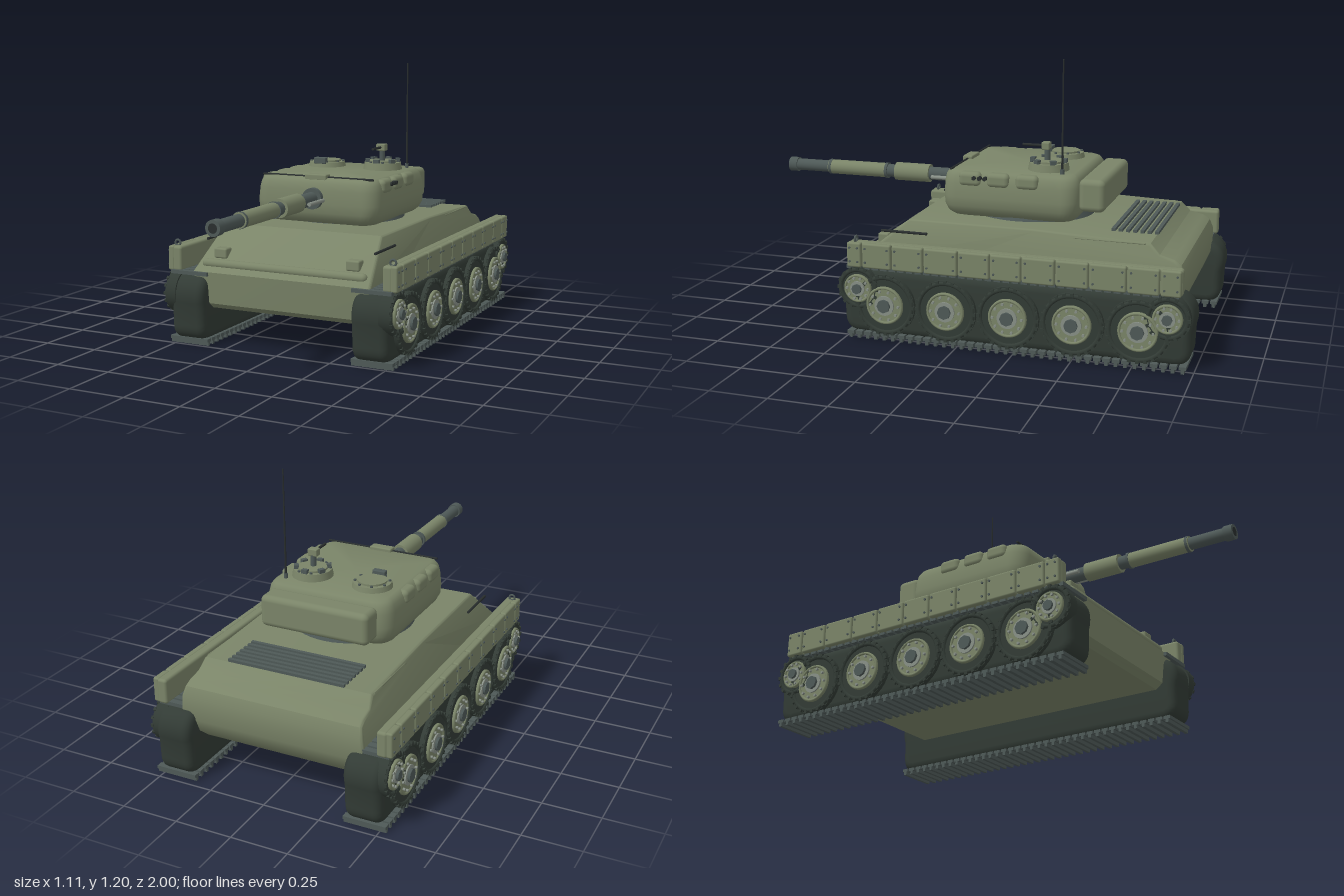
import * as THREE from 'three';
import { toCreasedNormals } from 'three/addons/utils/BufferGeometryUtils.js';
import { RoundedBoxGeometry } from 'three/addons/geometries/RoundedBoxGeometry.js';

const mat = (name, color) => Object.assign(new THREE.MeshStandardMaterial({ color }), { name });

export function createModel() {
  const green = mat('olive green', 0x7a8468);
  const dark = mat('dark track green', 0x323b35);
  const steel = mat('blue grey steel', 0x4e5957);
  const pale = mat('pale grey metal', 0x878f86);
  const black = mat('black metal', 0x292e2e);
  const model = new THREE.Group();
  model.name = 'tank';

  const add = (name, geo, material, x = 0, y = 0, z = 0, parent = model) => {
    const m = new THREE.Mesh(geo, material);
    m.name = name;
    m.position.set(x, y, z);
    parent.add(m);
    return m;
  };
  const box = (w, h, d) => new THREE.BoxGeometry(w, h, d);
  const soft = (w, h, d, r) => new RoundedBoxGeometry(w, h, d, 3, r);
  const cyl = (r, h, n = 32, r2 = r) => new THREE.CylinderGeometry(r, r2, h, n);
  const cylX = (r, h, n = 32) => cyl(r, h, n).rotateZ(Math.PI / 2);
  const cylZ = (r, h, n = 32) => cyl(r, h, n).rotateX(Math.PI / 2);

  // Side profile of [z, y] points, widened along x with bevelled edges
  const sideExtrude = (shape, width, bevel) => {
    const depth = width - 2 * bevel;
    const g = new THREE.ExtrudeGeometry(shape, {
      depth, bevelEnabled: true, bevelSize: bevel, bevelThickness: bevel,
      bevelOffset: -bevel, bevelSegments: 4, curveSegments: 12,
    });
    return g.translate(0, 0, -depth / 2).rotateY(-Math.PI / 2);
  };

  // Rounded-rectangle sections [y, halfX, halfZ, cornerRadius] stacked upwards
  const loft = (sections) => {
    const pos = [], idx = [], steps = 7, n = 4 * steps;
    for (const [y, hx, hz, r] of sections)
      for (let c = 0; c < 4; c++)
        for (let s = 0; s < steps; s++) {
          const a = (c + s / (steps - 1)) * Math.PI / 2;
          const sx = c === 0 || c === 3 ? 1 : -1, sz = c < 2 ? 1 : -1;
          pos.push(sx * (hx - r) + r * Math.cos(a), y, sz * (hz - r) + r * Math.sin(a));
        }
    const last = sections.length - 1, lo = pos.length / 3, hi = lo + 1;
    pos.push(0, sections[0][0], 0, 0, sections[last][0], 0);
    for (let j = 0; j < n; j++) {
      const k = (j + 1) % n;
      for (let i = 0; i < last; i++) {
        const a = i * n + j, b = i * n + k;
        idx.push(a, a + n, b, a + n, b + n, b);
      }
      idx.push(lo, j, k, hi, last * n + k, last * n + j);
    }
    const g = new THREE.BufferGeometry();
    g.setAttribute('position', new THREE.Float32BufferAttribute(pos, 3));
    g.setIndex(idx);
    return toCreasedNormals(g, 0.6);
  };

  // Hull: one side profile, narrowing towards the deck
  const profile = [[0.43, 0.16], [0.462, 0.185], [0.478, 0.325], [0.26, 0.505], [-0.29, 0.505],
    [-0.79, 0.488], [-0.83, 0.445], [-0.89, 0.43], [-0.92, 0.41], [-0.935, 0.37],
    [-0.935, 0.27], [-0.91, 0.21], [-0.85, 0.16]];
  const hullGeo = sideExtrude(new THREE.Shape(profile.map(p => new THREE.Vector2(...p))), 0.84, 0.012);
  const hp = hullGeo.attributes.position;
  for (let i = 0; i < hp.count; i++) {
    const t = Math.max(0, (hp.getY(i) - 0.325) / 0.18);
    hp.setX(i, hp.getX(i) * (1 - 0.095 * t));
  }
  add('hull', toCreasedNormals(hullGeo, 0.6), green);
  add('splashBar', new THREE.CapsuleGeometry(0.02, 0.74, 6, 16).rotateZ(Math.PI / 2), green, 0, 0.357, 0.435);

  // Engine grille
  for (let i = 0; i < 7; i++)
    add('grilleSlat', box(0.53, 0.012, 0.016), steel, 0, 0.501, -0.61 - i * 0.0305);

  // Track outline, slightly bulged around the end wheels
  const track = new THREE.Shape();
  track.moveTo(0.44, 0.02);
  track.quadraticCurveTo(0.515, 0.02, 0.515, 0.09);
  track.lineTo(0.518, 0.17);
  track.bezierCurveTo(0.54, 0.25, 0.5, 0.312, 0.43, 0.312);
  track.lineTo(-0.9, 0.312);
  track.bezierCurveTo(-0.97, 0.312, -1.015, 0.25, -0.988, 0.17);
  track.lineTo(-0.985, 0.09);
  track.quadraticCurveTo(-0.985, 0.02, -0.91, 0.02);
  const trackGeo = toCreasedNormals(sideExtrude(track, 0.165, 0.035), 0.7);

  // Wheel with its outside towards +x
  const wheel = (name, r, rim, teeth) => {
    const g = new THREE.Group();
    g.name = name;
    add('tyre', cylX(r, 0.05), dark, 0, 0, 0, g);
    add('tyreLip', new THREE.TorusGeometry(r - 0.012, 0.01, 8, 36).rotateY(Math.PI / 2), dark, 0.023, 0, 0, g);
    add('rim', cylX(rim, 0.05), green, 0.007, 0, 0, g);
    add('rimEdge', new THREE.TorusGeometry(rim - 0.006, 0.006, 8, 32).rotateY(Math.PI / 2), green, 0.032, 0, 0, g);
    add('hubPlate', cylX(rim * 0.52, 0.01, 24), pale, 0.034, 0, 0, g);
    add('hub', cylX(rim * 0.35, 0.03, 8), steel, 0.035, 0, 0, g);
    for (let i = 0; i < 10; i++) {
      const a = i * Math.PI / 5;
      add('wheelBolt', cylX(0.006, 0.012, 6), pale, 0.036, Math.sin(a) * rim * 0.76, Math.cos(a) * rim * 0.76, g);
    }
    for (let i = 0; i < teeth; i++) {
      const a = i * 2 * Math.PI / teeth;
      add('tooth', box(0.012, 0.014, 0.014), dark, 0.028, Math.sin(a) * (r - 0.006), Math.cos(a) * (r - 0.006), g).rotation.x = -a;
    }
    return g;
  };

  // Running gear and skirts, once for each side
  for (const s of [1, -1]) {
    const side = new THREE.Group();
    side.name = s > 0 ? 'leftRunningGear' : 'rightRunningGear';
    model.add(side);
    const put = (name, geo, material, x, y, z) => add(name, geo, material, s * x, y, z, side);
    const putWheel = (w, y, z) => {
      w.position.set(s * 0.503, y, z);
      if (s < 0) w.rotation.y = Math.PI;
      side.add(w);
    };

    put('trackBody', trackGeo, dark, 0.43, 0, 0);
    for (let i = 0; i < 38; i++) {
      const z = 0.478 - i * 0.0388;
      put('groundLink', box(0.187, 0.014, 0.03), steel, 0.435, 0.023, z);
      put('linkGrouser', box(0.187, 0.018, 0.014), steel, 0.435, 0.009, z);
      if (i < 37) put('topLink', box(0.18, 0.016, 0.028), steel, 0.432, 0.316, z);
    }

    for (let i = 0; i < 5; i++) putWheel(wheel('roadWheel', 0.133, 0.083, 24), 0.16, 0.315 - i * 0.2725);
    putWheel(wheel('frontSprocket', 0.092, 0.062, 16), 0.225, 0.437);
    putWheel(wheel('rearSprocket', 0.092, 0.062, 16), 0.225, -0.893);

    // Skirt panels
    put('skirtRail', soft(0.045, 0.11, 1.43, 0.012), green, 0.497, 0.372, -0.233);
    const edges = [0.485, 0.415, 0.28, 0.137, -0.015, -0.155, -0.29, -0.432, -0.572, -0.727, -0.86, -0.947];
    for (let i = 0; i < 11; i++) {
      const len = edges[i] - edges[i + 1], z = (edges[i] + edges[i + 1]) / 2;
      put('skirtPanel', soft(0.03, 0.108, len - 0.006, 0.008), green, 0.526, 0.373, z);
      for (const e of [-0.5, 0.5]) for (const y of [0.345, 0.405])
        put('skirtBolt', cylX(0.005, 0.012, 6), steel, 0.54, y, z + e * (len - 0.035));
    }
    put('skirtHook', new THREE.TorusGeometry(0.013, 0.005, 6, 14), steel, 0.51, 0.437, 0.45);

    // Hull fittings
    put('lampBox', soft(0.062, 0.045, 0.05, 0.008), green, 0.315, 0.4, 0.395);
    put('toolRod', cylZ(0.006, 0.21, 8), black, 0.4, 0.452, 0.275);
    put('deckRod', cylZ(0.004, 0.3, 8), green, 0.382, 0.484, -0.62);
  }

  // Turret
  const turret = new THREE.Group();
  turret.name = 'turret';
  model.add(turret);
  const tAdd = (name, geo, material, x, y, z) => add(name, geo, material, x, y, z, turret);
  tAdd('turretRing', cyl(0.262, 0.05, 48, 0.28), steel, 0, 0.51, -0.19);
  tAdd('turretShell', loft([[0.508, 0.24, 0.245, 0.05], [0.515, 0.263, 0.27, 0.06], [0.53, 0.282, 0.287, 0.065],
    [0.56, 0.297, 0.299, 0.07], [0.6, 0.3, 0.302, 0.07], [0.66, 0.294, 0.3, 0.07], [0.69, 0.286, 0.294, 0.065],
    [0.707, 0.274, 0.283, 0.06], [0.714, 0.258, 0.268, 0.055]]), green, 0, 0, -0.157);
  tAdd('rearStowageBox', soft(0.5, 0.14, 0.112, 0.025), green, 0, 0.63, -0.509);
  for (const s of [1, -1])
    for (const z of [0.012, -0.112, -0.24])
      tAdd('sideStowageBox', soft(0.09, 0.062, 0.1, 0.02), green, s * 0.258, 0.68, z);
  for (let i = 0; i < 3; i++)
    tAdd('smokeLauncher', cylX(0.009, 0.02, 10), black, 0.302, 0.688, -0.01 - i * 0.024);
  tAdd('roofRail', cylX(0.005, 0.54, 8), black, 0, 0.715, 0.105);
  tAdd('gunSight', soft(0.105, 0.028, 0.045, 0.006), green, 0, 0.715, 0.105);

  // Gun: [name, start z, end z, radius, material]
  const gunParts = [
    ['mantletCollar', 0.12, 0.165, 0.047, steel], ['recoilSleeve', 0.14, 0.31, 0.03, steel],
    ['barrelShroud', 0.3, 0.465, 0.041, green], ['barrelJoint', 0.465, 0.515, 0.029, steel],
    ['barrel', 0.51, 0.8, 0.033, green], ['barrelBand', 0.505, 0.517, 0.036, steel],
    ['barrelBand', 0.785, 0.797, 0.035, steel], ['barrelTip', 0.8, 0.965, 0.027, steel],
    ['muzzle', 0.96, 1, 0.033, steel]];
  for (const [name, a, b, r, m] of gunParts) tAdd(name, cylZ(r, b - a), m, 0, 0.625, (a + b) / 2);
  tAdd('bore', new THREE.CircleGeometry(0.02, 24), black, 0, 0.625, 1.0005);
  for (const s of [1, -1]) tAdd('recoilRod', cylZ(0.009, 0.15, 12), pale, s * 0.046, 0.618, 0.205);

  // Hatches: a plain one on the right, a raised cupola on the left
  const hatch = (name, x, r, h) => {
    tAdd(name, cyl(r - 0.006, h, 36, r), green, x, 0.712 + h / 2, -0.295);
    tAdd(name + 'Lid', cyl(r * 0.72, 0.008, 32), green, x, 0.716 + h, -0.295);
    for (let i = 0; i < 8; i++) {
      const a = (i + 0.5) * Math.PI / 4;
      tAdd('hatchBolt', cyl(0.006, 0.008, 6), steel, x + Math.cos(a) * r * 0.84, 0.715 + h, -0.295 + Math.sin(a) * r * 0.84);
    }
  };
  hatch('loaderHatch', -0.145, 0.088, 0.024);
  tAdd('loaderPeriscope', soft(0.06, 0.03, 0.028, 0.004), steel, -0.145, 0.745, -0.225);
  hatch('commanderCupola', 0.14, 0.09, 0.034);
  for (let i = 0; i < 6; i++) {
    const a = i * Math.PI / 3 + Math.PI / 6;
    tAdd('cupolaPeriscope', box(0.026, 0.018, 0.02), steel, 0.14 + Math.cos(a) * 0.07, 0.754, -0.295 + Math.sin(a) * 0.07)
      .rotation.y = Math.PI / 2 - a;
  }

  // Roof machine gun and aerial
  tAdd('gunPost', cyl(0.013, 0.06, 12), steel, 0.14, 0.775, -0.288);
  tAdd('gunReceiver', soft(0.044, 0.032, 0.035, 0.004), green, 0.14, 0.815, -0.283);
  tAdd('machineGunBarrel', cylZ(0.006, 0.1, 10), black, 0.14, 0.815, -0.228);
  tAdd('aerialBase', cyl(0.009, 0.025, 10), steel, 0.227, 0.722, -0.377);
  tAdd('aerial', cyl(0.003, 0.49, 8, 0.005), black, 0.227, 0.955, -0.377);

  return model;
}
